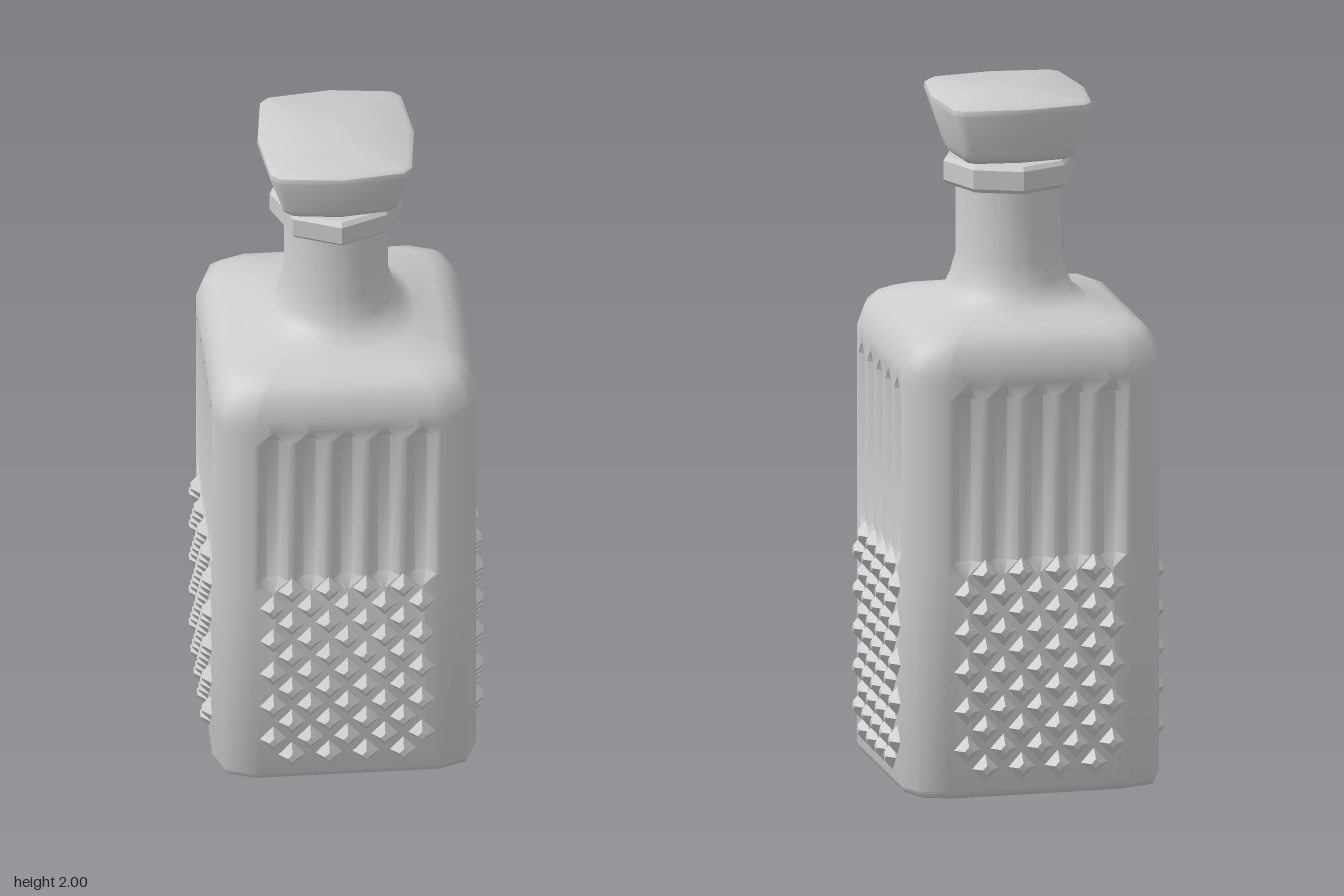
import * as THREE from 'three';
import { mergeGeometries, toCreasedNormals } from 'three/addons/utils/BufferGeometryUtils.js';

const material = new THREE.MeshStandardMaterial({ color: 0xcccccc });
const PITCH = 0.107; // spacing of flutes and studs

// Turns one side's points [x, z] (facing +z) into a full four-sided ring
function fourSides(side) {
  const ring = [];
  let pts = side;
  for (let k = 0; k < 4; k++) {
    ring.push(...pts);
    pts = pts.map(([x, z]) => [z, -x]);
  }
  return ring;
}

// Skins rings of equal point count, listed bottom to top as { y, pts }
function loft(rings, crease) {
  const n = rings[0].pts.length;
  const pos = [], idx = [];
  for (const { y, pts } of rings) for (const [x, z] of pts) pos.push(x, y, z);
  for (let j = 0; j < rings.length - 1; j++) {
    for (let i = 0; i < n; i++) {
      const a = j * n + i, b = j * n + (i + 1) % n;
      idx.push(a, b, b + n, a, b + n, a + n);
    }
  }
  const g = new THREE.BufferGeometry();
  g.setAttribute('position', new THREE.Float32BufferAttribute(pos, 3));
  g.setIndex(idx);
  return toCreasedNormals(g, crease);
}

// Bottle cross-section: rounded square with five flutes per side, blended to a circle
function bottleRing({ y, half, round = 0, flute = 0, width = 1 }) {
  const side = [[-0.27, 0.38]];
  for (let c = -2; c <= 2; c++) {
    for (const [dx, d] of [[-0.043, 0], [-0.017, 1], [0.017, 1], [0.043, 0]]) {
      side.push([c * PITCH + dx * width, 0.38 - 0.026 * d * flute]);
    }
  }
  side.push([0.27, 0.38], [0.35, 0.35]);
  const pts = fourSides(side).map(([x, z]) => {
    const s = half / 0.38, r = half / Math.hypot(x, z);
    const k = THREE.MathUtils.lerp(s, r, round);
    return [x * k, z * k];
  });
  return { y, pts };
}

function bottle() {
  const rings = [
    { y: 0.04, half: 0.001 }, { y: 0.04, half: 0.25 }, // hollow base
    { y: 0.005, half: 0.33 }, { y: 0, half: 0.355 }, { y: 0.006, half: 0.372 }, { y: 0.025, half: 0.38 },
    { y: 0.66, half: 0.38, width: 0.15 }, // flutes
    { y: 0.7, half: 0.38, flute: 1 },
    { y: 1.18, half: 0.38, flute: 1 },
    { y: 1.22, half: 0.38, width: 0.15 },
    { y: 1.26, half: 0.38 }, { y: 1.32, half: 0.362 }, { y: 1.35, half: 0.335 }, { y: 1.37, half: 0.295 }, // shoulder
    { y: 1.39, half: 0.225, round: 0.6 }, { y: 1.42, half: 0.185, round: 1 },
    { y: 1.46, half: 0.167, round: 1 }, { y: 1.52, half: 0.15, round: 1 }, // neck
    { y: 1.81, half: 0.15, round: 1 }, { y: 1.81, half: 0.001, round: 1 },
  ];
  return loft(rings.map(bottleRing), 0.9);
}

// Cut diamond studs, in staggered rows on one side
function studPanel() {
  const studs = [];
  for (let row = 0; row < 11; row++) {
    const count = row % 2 ? 5 : 4;
    for (let i = 0; i < count; i++) {
      const g = new THREE.CylinderGeometry(0.013, 0.051, 0.037, 4).toNonIndexed();
      g.rotateX(Math.PI / 2);
      g.scale(1, 1.1, 1);
      g.translate((i - (count - 1) / 2) * PITCH, 0.09 + row * 0.0575, 0.3865);
      g.computeVertexNormals();
      studs.push(g);
    }
  }
  return mergeGeometries(studs);
}

// Eight-sided collar with bevelled rims
function collar() {
  const profile = [[0.14, 1.73], [0.18, 1.73], [0.191, 1.742], [0.191, 1.798], [0.18, 1.81], [0.12, 1.81]]
    .map(([r, y]) => new THREE.Vector2(r, y));
  return toCreasedNormals(new THREE.LatheGeometry(profile, 8), 0.5);
}

// Flared stopper with bowed sides and clipped corners
function stopper() {
  const outline = fourSides([[-0.18, 0.205], [0, 0.227], [0.18, 0.205]]);
  const rings = [[1.82, 0.001], [1.82, 0.73], [1.832, 0.79], [1.85, 0.815], [1.975, 1], [1.99, 0.99], [2, 0.93], [2, 0.001]]
    .map(([y, s]) => ({ y, pts: outline.map(([x, z]) => [x * s, z * s]) }));
  return loft(rings, 0.75);
}

export function createModel() {
  const group = new THREE.Group();
  const add = (name, geometry) => {
    const mesh = new THREE.Mesh(geometry, material);
    mesh.name = name;
    group.add(mesh);
    return mesh;
  };

  add('bottle', bottle());
  const panel = studPanel();
  ['front', 'left', 'back', 'right'].forEach((side, k) => {
    add(side + 'Studs', panel).rotation.y = k * Math.PI / 2;
  });
  add('collar', collar());

  // Plug joining the stopper to the neck
  const plug = new THREE.CylinderGeometry(0.125, 0.115, 0.12, 24);
  plug.translate(0, 1.78, 0);
  add('plug', plug);
  add('stopper', stopper());
  return group;
}
